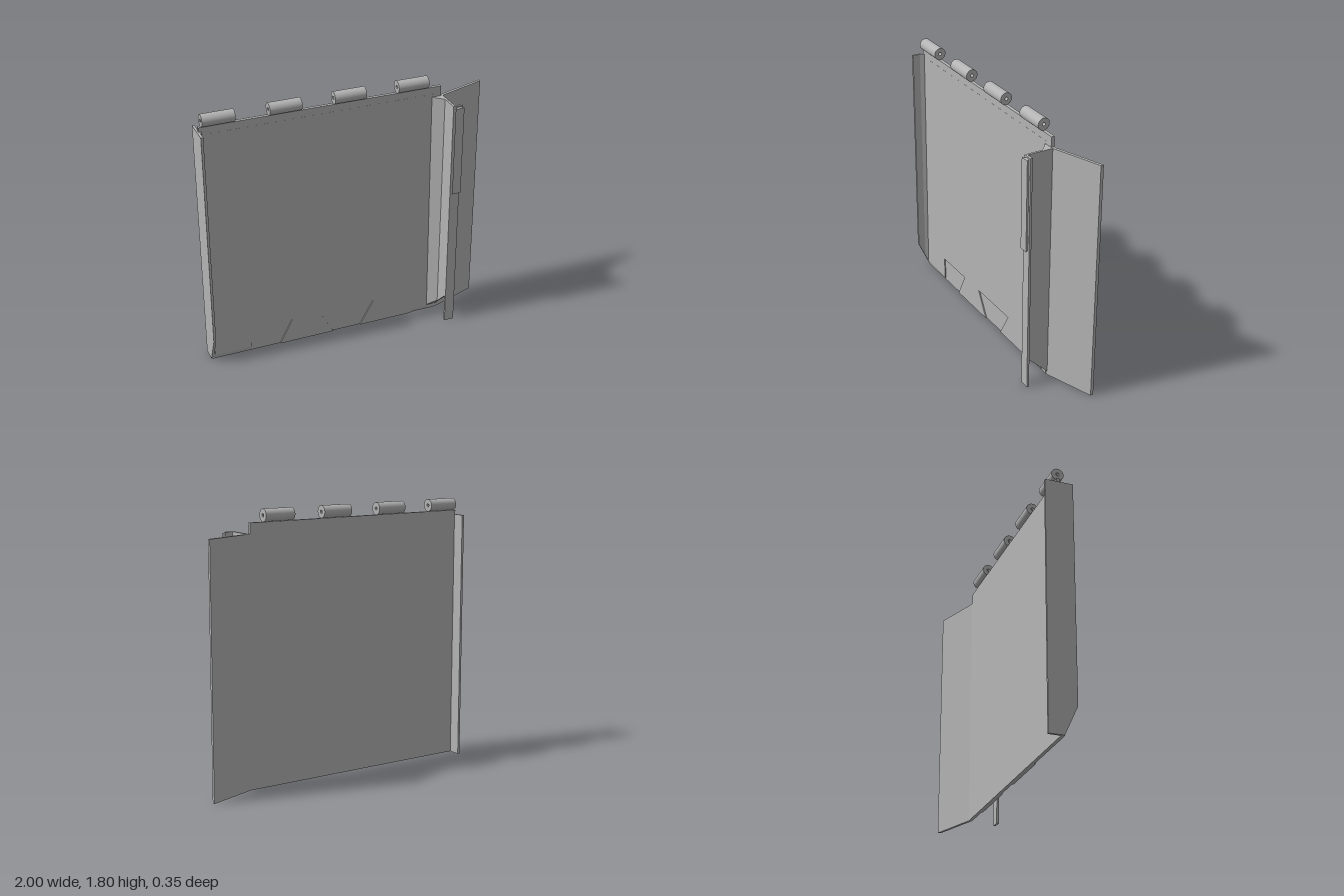
import * as THREE from 'three';

export function createModel() {
  const group = new THREE.Group();
  group.name = 'hingedPanel';
  const steel = new THREE.MeshStandardMaterial({ color: 0xb4b4b4 });
  steel.name = 'grey steel';

  const add = (name, geometry) => {
    const mesh = new THREE.Mesh(geometry, steel);
    mesh.name = name;
    group.add(mesh);
    return mesh;
  };
  const extrude = (points, depth) => new THREE.ExtrudeGeometry(
    new THREE.Shape(points.map(([x, y]) => new THREE.Vector2(x, y))),
    { depth, bevelEnabled: false });
  // Plan outline of [x, z] points raised from y0 to y1
  const plan = (points, y0, y1) =>
    extrude(points.map(([x, z]) => [x, -z]), y1 - y0).rotateX(-Math.PI / 2).translate(0, y0, 0);
  // Side outline of [z, y] points stretched from x0 to x1
  const side = (points, x0, x1) =>
    extrude(points.map(([z, y]) => [-z, y]), x1 - x0).rotateY(Math.PI / 2).translate(x0, 0, 0);
  // Move vertices by a rule
  const reshape = (geometry, rule) => {
    const p = geometry.attributes.position;
    const v = new THREE.Vector3();
    for (let i = 0; i < p.count; i++) {
      v.fromBufferAttribute(p, i);
      rule(v);
      p.setXYZ(i, v.x, v.y, v.z);
    }
    geometry.computeVertexNormals();
    return geometry;
  };

  // Main wall
  const back = -0.058, face = -0.035;
  add('mainPanel', side([[back, 0], [face, 0], [face, 1.72], [back, 1.72]], -0.99, 0.65));

  // Front skin, with two notches, thinning out towards the top
  const skinZ = (y) => -0.0345 + 0.008 * (1 - y / 1.67);
  const skin = extrude([
    [-0.975, 0.03], [-0.72, 0.03], [-0.72, 0.175], [-0.42, 0.175], [-0.51, 0],
    [-0.12, 0], [-0.22, 0.175], [0.18, 0.175], [0.08, 0], [0.47, 0], [0.47, 0.025],
    [0.6, 0.025], [0.6, 1.67], [-0.975, 1.67],
  ], 0.01);
  add('frontSkin', reshape(skin, (v) => {
    v.z = v.z > 0.005 ? skinZ(v.y) : -0.045;
  }));

  // Sloped lower ends of the skin
  for (const [x0, x1, top] of [[-0.975, -0.72, 0.03], [0.47, 0.6, 0.025]]) {
    add('skinBevel', side([[-0.045, 0.003], [face, 0.003], [skinZ(top), top], [-0.045, top]], x0, x1));
  }

  // Left-hand edge flange, cut away at the lower front
  add('edgeFlange', side([
    [-0.14, 0], [-0.04, 0], [0.046, 0.19], [0.046, 1.69], [-0.14, 1.69],
  ], -1, -0.984));
  add('edgeFillet', reshape(
    plan([[-0.986, -0.04], [-0.972, -0.034], [-0.986, 0]], 0, 1.69),
    (v) => { if (v.y < 0.5) v.y = Math.max(0, (v.z + 0.04) * 2.2); }));

  // Jamb flange on the other edge, with its corner gusset
  add('jambFlange', side([
    [-0.045, 0], [-0.033, 0.03], [0.14, 0.2], [0.14, 1.65], [-0.045, 1.65],
  ], 0.65, 0.665));
  add('cornerGusset', reshape(
    plan([[0.58, -0.04], [0.652, -0.04], [0.652, 0.03]], 0, 1.65),
    (v) => { if (v.y < 0.5) v.y = v.z + 0.065; }));

  // Front lip and raised seal strip
  add('frontLip', plan([[0.65, 0.136], [0.717, 0.136], [0.717, 0.152], [0.65, 0.152]], 0, 1.65));
  add('sealStrip', plan([[0.672, 0.15], [0.7, 0.15], [0.717, 0.174], [0.655, 0.174]], 1.02, 1.64));

  // Angled wing
  add('wing', plan([[0.64, -0.058], [0.667, -0.058], [1, -0.174], [1, -0.154],
    [0.667, -0.037], [0.64, -0.037]], 0, 1.65));

  // Hinge barrels with pin bores
  const r = 0.041, bore = 0.011, half = 0.107;
  const barrel = new THREE.ExtrudeGeometry((() => {
    const ring = new THREE.Shape().absarc(0, 0, r, 0, Math.PI * 2, false);
    ring.holes.push(new THREE.Path().absarc(0, 0, bore, 0, Math.PI * 2, true));
    return ring;
  })(), { depth: half * 2, bevelEnabled: false, curveSegments: 32 });
  // Smooth normals on the round surfaces
  const p = barrel.attributes.position, n = barrel.attributes.normal;
  for (let i = 0; i < p.count; i++) {
    if (Math.abs(n.getZ(i)) > 0.5) continue;
    const d = Math.hypot(p.getX(i), p.getY(i));
    const s = d > 0.02 ? 1 : -1;
    n.setXYZ(i, s * p.getX(i) / d, s * p.getY(i) / d, 0);
  }
  barrel.translate(0, 0, -half).rotateY(Math.PI / 2);
  for (const x of [-0.866, -0.43, 0.005, 0.443]) {
    add('hingeBarrel', barrel).position.set(x, 1.761, -0.045);
  }

  return group;
}
